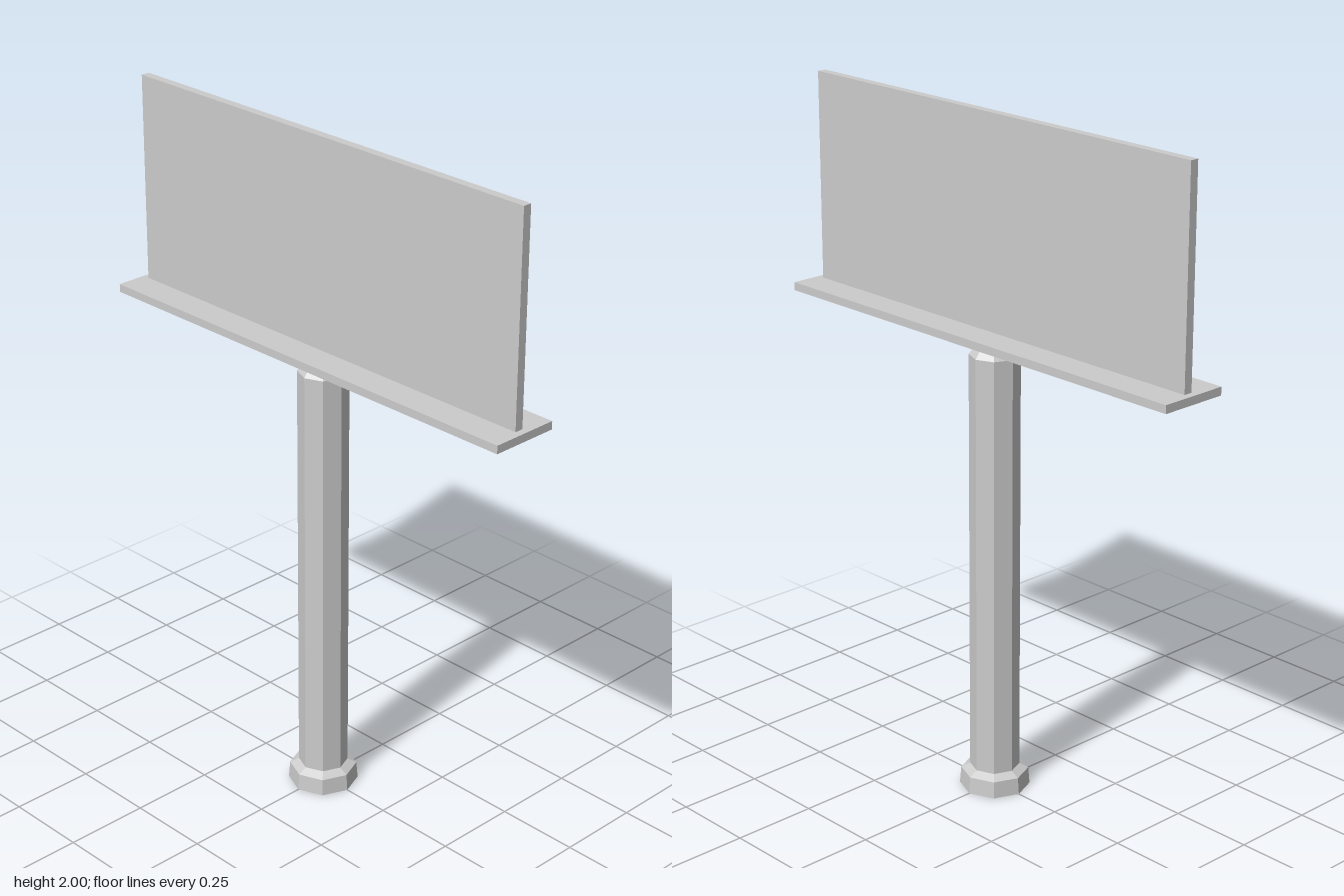
import * as THREE from 'three';

export function createModel() {
  const model = new THREE.Group();
  const mat = new THREE.MeshStandardMaterial({ color: 0xcccccc, flatShading: true });

  const add = (name, geometry, y) => {
    const mesh = new THREE.Mesh(geometry, mat);
    mesh.name = name;
    mesh.position.y = y;
    model.add(mesh);
  };

  // Octagonal post: flared foot, straight shaft, tapered neck
  const profile = [
    [0, 0], [0.102, 0], [0.098, 0.05], [0.072, 0.064],
    [0.072, 1.322], [0.045, 1.356], [0.045, 1.365], [0, 1.365],
  ].map(([r, y]) => new THREE.Vector2(r, y));
  add('post', new THREE.LatheGeometry(profile, 8), 0);

  // Horizontal ledge carrying the board
  add('ledge', new THREE.BoxGeometry(1.476, 0.024, 0.208), 1.376);

  // Upright display board
  add('board', new THREE.BoxGeometry(1.434, 0.612, 0.026), 1.694);

  return model;
}
